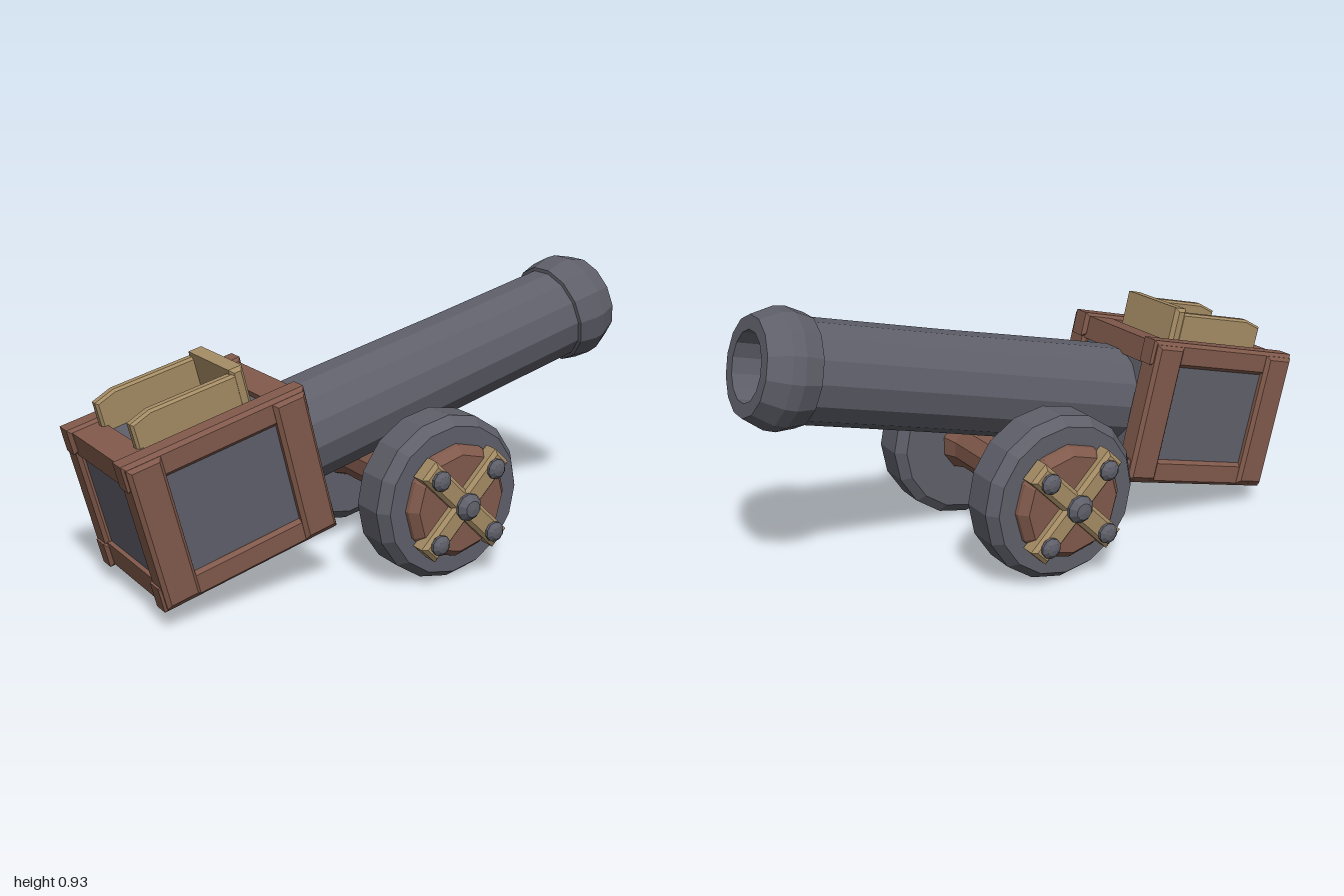
import * as THREE from 'three';

const mat = (color) => new THREE.MeshStandardMaterial({ color, flatShading: true });
const iron = mat(0x5e5f69), wood = mat(0x80594b), plank = mat(0xa48b64);

function add(parent, name, geometry, material, x = 0, y = 0, z = 0) {
  const mesh = new THREE.Mesh(geometry, material);
  mesh.name = name;
  mesh.position.set(x, y, z);
  parent.add(mesh);
  return mesh;
}

// Box with chamfered edges, centred on its origin
function chamferBox(w, h, d, c = 0.012) {
  const a = w / 2 - c, b = h / 2 - c;
  const shape = new THREE.Shape();
  shape.moveTo(-a, -b);
  shape.lineTo(a, -b);
  shape.lineTo(a, b);
  shape.lineTo(-a, b);
  shape.closePath();
  const g = new THREE.ExtrudeGeometry(shape, {
    depth: d - 2 * c, bevelEnabled: true, bevelThickness: c, bevelSize: c, bevelSegments: 1,
  });
  return g.translate(0, 0, -(d / 2 - c));
}

// Turned solid from [radius, height] pairs, running along y
const turned = (pts, sides) =>
  new THREE.LatheGeometry(pts.map(([r, h]) => new THREE.Vector2(r, h)), sides);

// Timber-framed box with iron panels
function createBox() {
  const box = new THREE.Group();
  box.name = 'breechBox';
  add(box, 'panels', new THREE.BoxGeometry(0.575, 0.445, 0.465), iron);
  for (const i of [-1, 1]) {
    for (const j of [-1, 1]) {
      add(box, 'longBeam', chamferBox(0.63, 0.085, 0.08), wood, 0, i * 0.2075, j * 0.205);
      add(box, 'post', chamferBox(0.115, 0.475, 0.09), wood, i * 0.25, 0, j * 0.213);
      add(box, 'crossBeam', chamferBox(0.1, 0.08, 0.5), wood, i * 0.252, j * 0.2, 0);
    }
  }
  return box;
}

// Two side rails and a cross board on top of the box
function createTopRails() {
  const rails = new THREE.Group();
  rails.name = 'topRails';
  const side = new THREE.Shape();
  [[-0.212, 0.215], [0.14, 0.215], [0.14, 0.33], [-0.15, 0.333], [-0.212, 0.315]]
    .forEach(([x, y], i) => (i ? side.lineTo(x, y) : side.moveTo(x, y)));
  side.closePath();
  const g = new THREE.ExtrudeGeometry(side, {
    depth: 0.022, bevelEnabled: true, bevelThickness: 0.008, bevelSize: 0.008, bevelSegments: 1,
  }).translate(0, 0, -0.011);
  for (const s of [-1, 1]) add(rails, 'sideRail', g, plank, 0, 0, s * 0.13);
  add(rails, 'crossBoard', chamferBox(0.047, 0.14, 0.295), plank, 0.153, 0.283, 0);
  return rails;
}

// Hollow barrel with a flared muzzle ring
function createBarrel() {
  const profile = [
    [0, 0.2], [0.176, 0.2], [0.175, 0.5], [0.168, 1.0], [0.166, 1.465],
    [0.178, 1.468], [0.192, 1.53], [0.188, 1.57], [0.157, 1.639],
    [0.112, 1.639], [0.108, 0.7], [0, 0.7],
  ];
  const mesh = new THREE.Mesh(turned(profile, 14).rotateZ(-Math.PI / 2), iron);
  mesh.name = 'barrel';
  return mesh;
}

// Wheel facing +z, with hub disc, crossed planks and bolts
function createWheel() {
  const wheel = new THREE.Group();
  wheel.name = 'wheel';
  const tyre = [[0, 0.23], [0.245, 0.23], [0.278, 0.258], [0.278, 0.365], [0.25, 0.402], [0.2, 0.402], [0, 0.395]];
  add(wheel, 'tyre', turned(tyre, 16).rotateX(Math.PI / 2), iron);
  const hub = [[0.195, 0.385], [0.19, 0.415], [0.165, 0.442], [0, 0.442]];
  add(wheel, 'hub', turned(hub, 12).rotateX(Math.PI / 2), wood);
  for (const s of [-1, 1]) {
    const board = add(wheel, 'crossPlank', chamferBox(0.405, 0.075, 0.07), plank, 0, 0, 0.437 + s * 0.001);
    board.rotation.z = s * Math.PI / 4;
  }
  const bolt = (r, x, y, top) => {
    const head = [[0.6 * r, 0.462], [r, 0.474], [r, 0.484], [0.6 * r, top - 0.004], [0, top]];
    add(wheel, 'bolt', turned(head, 10).rotateX(Math.PI / 2), iron, x, y, 0);
  };
  bolt(0.046, 0, 0, 0.508);
  for (const i of [-1, 1]) for (const j of [-1, 1]) bolt(0.034, i * 0.108, j * 0.108, 0.5);
  return wheel;
}

export function createModel() {
  const model = new THREE.Group();
  model.name = 'cannon';

  // Tilted box and barrel
  const gun = new THREE.Group();
  gun.name = 'gun';
  gun.position.set(-0.633, 0.378, 0);
  gun.rotation.z = THREE.MathUtils.degToRad(13.7);
  gun.add(createBox(), createTopRails(), createBarrel());
  model.add(gun);

  // Axle with flared ends, and a wheel on each side
  const running = new THREE.Group();
  running.name = 'runningGear';
  running.position.set(0.075, 0.278, 0);
  const axle = [[0.102, -0.24], [0.102, -0.228], [0.087, -0.175], [0.087, 0.175], [0.102, 0.228], [0.102, 0.24]];
  add(running, 'axle', turned(axle, 10).rotateX(Math.PI / 2), wood);
  const left = createWheel(), right = createWheel();
  right.rotation.y = Math.PI;
  running.add(left, right);
  model.add(running);
  return model;
}
